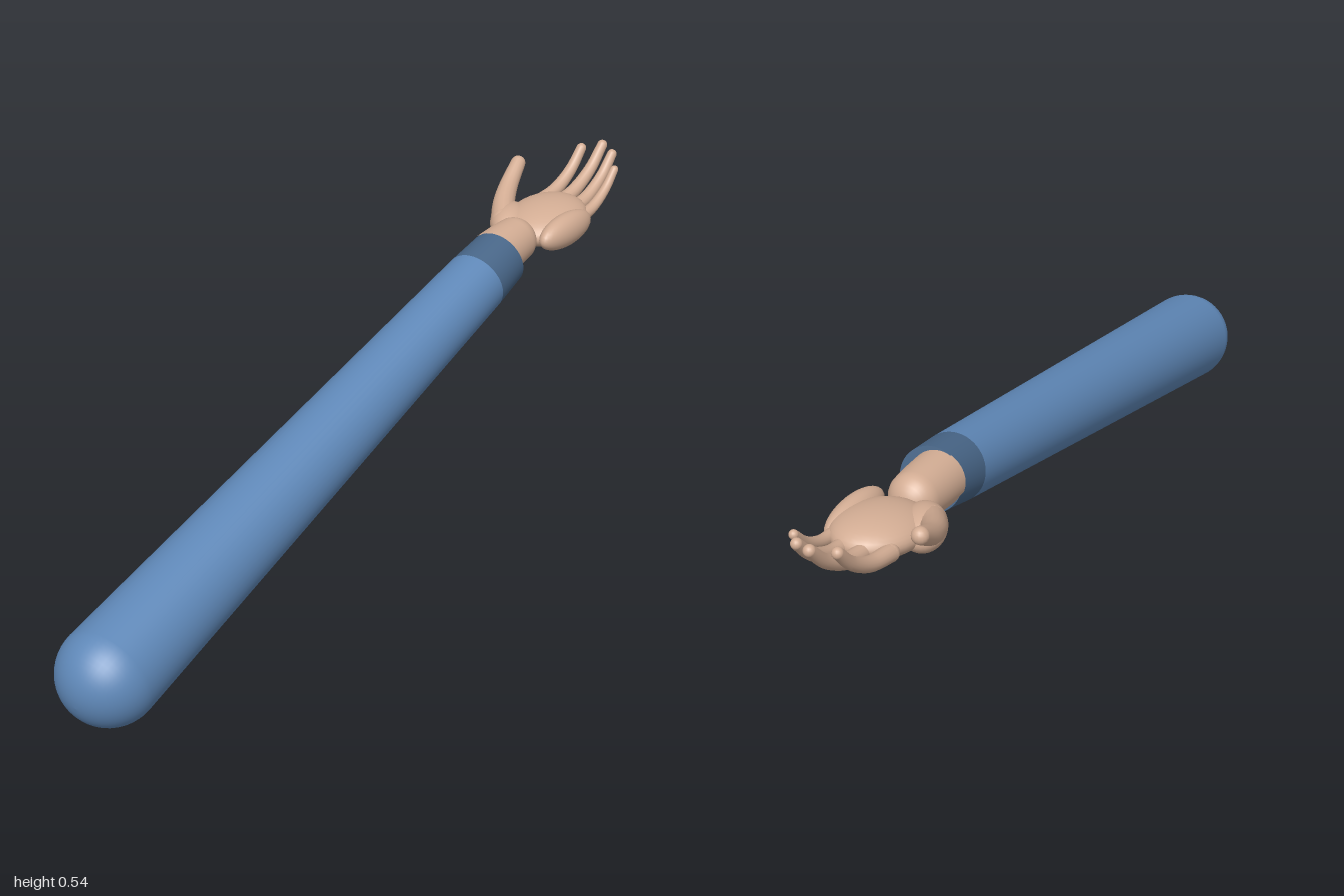
import * as THREE from 'three';

const v = (x, y, z) => new THREE.Vector3(x, y, z);
const UP = v(0, 1, 0);

export function createModel() {
  const model = new THREE.Group();
  model.name = 'arm';

  const material = (name, color) => {
    const m = new THREE.MeshStandardMaterial({ color });
    m.name = name;
    return m;
  };
  const sleeveBlue = material('sleeveBlue', 0x5f88b8);
  const cuffBlue = material('cuffBlue', 0x486688);
  const skin = material('skin', 0xd3ad94);

  const add = (name, geometry, mat, parent = model) => {
    const mesh = new THREE.Mesh(geometry, mat);
    mesh.name = name;
    parent.add(mesh);
    return mesh;
  };

  // Turned part whose profile [radius, distance] runs along a given line
  const turned = (name, profile, from, to, mat) => {
    const pts = profile.map(([r, d]) => new THREE.Vector2(r, d));
    const mesh = add(name, new THREE.LatheGeometry(pts, 48), mat);
    mesh.position.copy(from);
    mesh.quaternion.setFromUnitVectors(UP, to.clone().sub(from).normalize());
    return mesh;
  };

  const ellipsoid = (name, center, radii, rotation = [0, 0, 0]) => {
    const mesh = add(name, new THREE.SphereGeometry(1, 32, 20), skin);
    mesh.position.set(...center);
    mesh.scale.set(...radii);
    mesh.rotation.set(...rotation);
    return mesh;
  };

  // Tapered, round-ended digit along a smooth curve
  const digit = (name, points, r0, r1) => {
    const group = new THREE.Group();
    group.name = name;
    model.add(group);
    const curve = new THREE.CatmullRomCurve3(points);
    const rows = 20, sides = 16;
    const geometry = new THREE.TubeGeometry(curve, rows, 1, sides);
    const pos = geometry.attributes.position;
    const p = v(0, 0, 0);
    for (let i = 0; i < pos.count; i++) {
      const u = Math.floor(i / (sides + 1)) / rows;
      const c = curve.getPointAt(u);
      p.fromBufferAttribute(pos, i).sub(c).multiplyScalar(r0 + (r1 - r0) * u).add(c);
      pos.setXYZ(i, p.x, p.y, p.z);
    }
    add(name + 'Shaft', geometry, skin, group);
    [[points[0], r0, 'Root'], [points[points.length - 1], r1, 'Tip']].forEach(([at, r, end]) => {
      add(name + end, new THREE.SphereGeometry(r, 16, 12), skin, group).position.copy(at);
    });
  };

  // Sleeve with a rounded shoulder end
  const shoulder = v(0.092, 0.104, 0.898);
  const cuffEnd = v(-0.013, 0.424, -0.505);
  const length = shoulder.distanceTo(cuffEnd);
  const cuffStart = length - 0.1;
  const profile = [];
  for (let i = 0; i <= 14; i++) {
    const a = (i / 14) * Math.PI / 2;
    profile.push([0.104 * Math.sin(a), -0.103 * Math.cos(a)]);
  }
  profile.push([0.0725, cuffStart]);
  turned('sleeve', profile, shoulder, cuffEnd, sleeveBlue);

  // Cuff, closed at the wrist side
  turned('cuff', [[0.0725, cuffStart], [0.0675, length - 0.002]], shoulder, cuffEnd, cuffBlue);
  turned('cuffEnd', [[0.0675, length - 0.002], [0, length]], shoulder, cuffEnd, cuffBlue);

  // Wrist with a rounded hand end
  const wrist = [[0.058, 0], [0.056, 0.06], [0.053, 0.1]];
  for (let i = 1; i <= 8; i++) {
    const a = (i / 8) * Math.PI / 2;
    wrist.push([0.053 * Math.cos(a), 0.1 + 0.048 * Math.sin(a)]);
  }
  turned('wrist', wrist, v(-0.024, 0.426, -0.49), v(-0.032, 0.437, -0.64), skin);

  // Palm with its thumb-side and outer mounds
  ellipsoid('palm', [-0.035, 0.437, -0.725], [0.09, 0.043, 0.113], [0.1, 0, 0]);
  ellipsoid('thumbMound', [-0.1, 0.431, -0.675], [0.046, 0.04, 0.072], [0, 0.45, 0]);
  ellipsoid('outerMound', [0.034, 0.436, -0.705], [0.032, 0.039, 0.095]);

  // Thumb
  digit('thumb', [
    v(-0.105, 0.437, -0.655), v(-0.14, 0.455, -0.705),
    v(-0.163, 0.475, -0.755), v(-0.18, 0.509, -0.817),
  ], 0.03, 0.0175);

  // Four upturned fingers: root x, tip x, tip height, tip z, thickness
  [
    ['indexFinger', -0.1, -0.095, 0.523, -0.958, 0.0185],
    ['middleFinger', -0.058, -0.055, 0.532, -0.987, 0.019],
    ['ringFinger', -0.013, -0.015, 0.525, -0.968, 0.018],
    ['littleFinger', 0.027, 0.022, 0.51, -0.923, 0.015],
  ].forEach(([name, x0, x1, y, z, r]) => {
    const rootZ = name === 'littleFinger' ? -0.775 : -0.795;
    const at = (t, h) => v(x0 + (x1 - x0) * t, 0.438 + (y - 0.438) * h, rootZ + (z - rootZ) * t);
    digit(name, [at(0, 0), at(0.4, 0.13), at(0.75, 0.5), at(1, 1)], r, r * 0.64);
  });

  return model;
}
